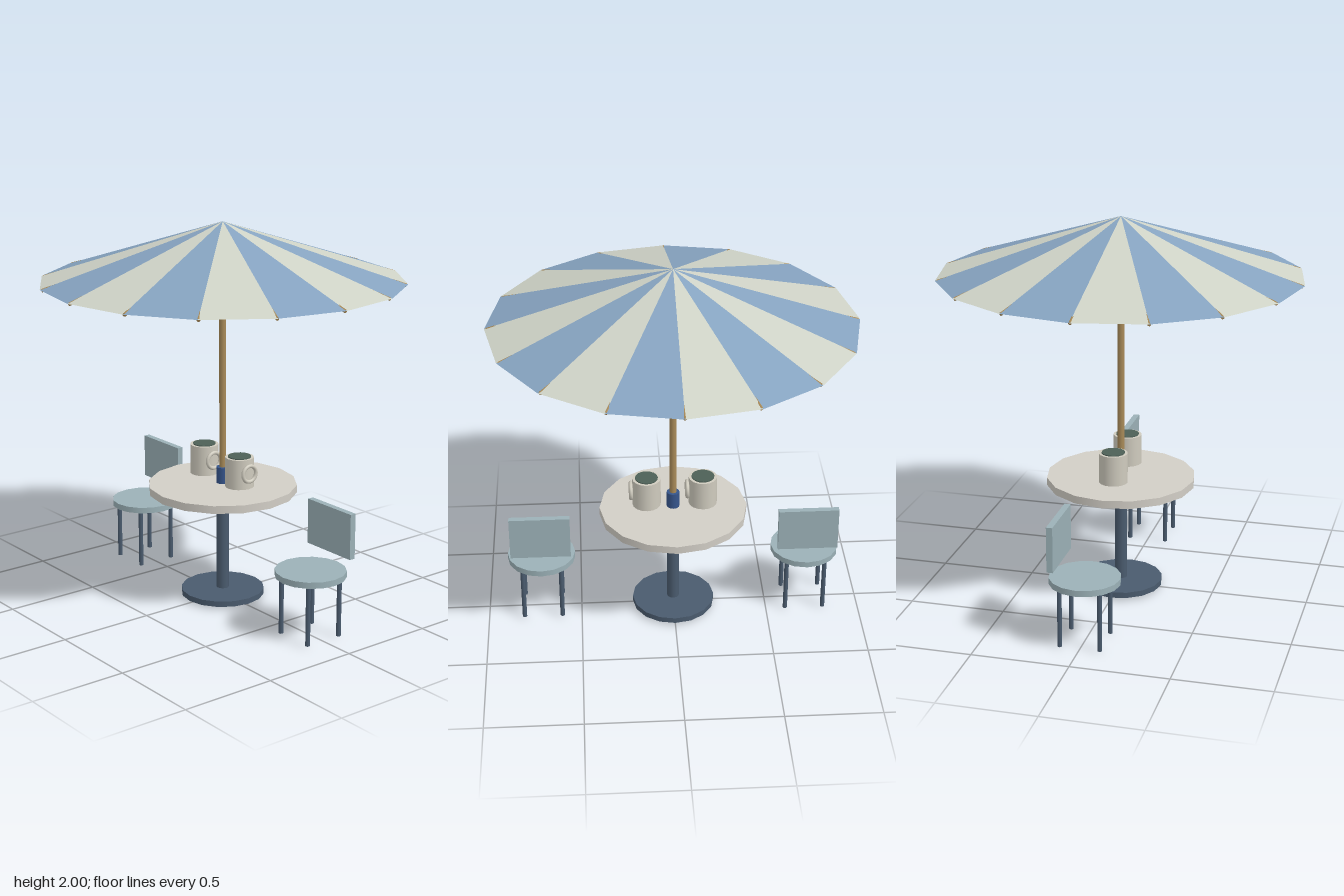
import * as THREE from 'three';

const paint = (color, extra = {}) => {
  const m = new THREE.MeshStandardMaterial({ color });
  return Object.assign(m, extra);
};

const mats = {
  blueCloth: paint(0x86a3c0, { side: THREE.DoubleSide, flatShading: true }),
  paleCloth: paint(0xced2c6, { side: THREE.DoubleSide, flatShading: true }),
  wood: paint(0xa88a58),
  metal: paint(0x4a5b6e),
  socket: paint(0x35558c),
  table: paint(0xd2cec6),
  mug: paint(0xcfcbbe),
  drink: paint(0x4d6057),
  chair: paint(0x9bb1b7),
};

function add(parent, name, geometry, material, x = 0, y = 0, z = 0) {
  const mesh = new THREE.Mesh(geometry, material);
  mesh.name = name;
  mesh.position.set(x, y, z);
  parent.add(mesh);
  return mesh;
}

// Upright cylinder between two heights
function post(parent, name, r, y0, y1, sides, material, x = 0, z = 0) {
  return add(parent, name, new THREE.CylinderGeometry(r, r, y1 - y0, sides), material, x, (y0 + y1) / 2, z);
}

// Straight round bar between two points
function bar(parent, name, a, b, r, material) {
  const mesh = add(parent, name, new THREE.CylinderGeometry(r, r, a.distanceTo(b), 6), material);
  mesh.position.copy(a).lerp(b, 0.5);
  mesh.quaternion.setFromUnitVectors(new THREE.Vector3(0, 1, 0), b.clone().sub(a).normalize());
}

const PANELS = 16, CANOPY_R = 0.935, APEX = 2, RIM = 1.7;
const polar = (i, r, y) => {
  const a = (i / PANELS) * Math.PI * 2;
  return new THREE.Vector3(Math.cos(a) * r, y, Math.sin(a) * r);
};

// Every second panel of the canopy, starting at the given one
function panels(first) {
  const points = [];
  for (let i = first; i < PANELS; i += 2) {
    points.push(new THREE.Vector3(0, APEX, 0), polar(i + 1, CANOPY_R, RIM), polar(i, CANOPY_R, RIM));
  }
  const g = new THREE.BufferGeometry().setFromPoints(points);
  g.computeVertexNormals();
  return g;
}

function umbrella() {
  const g = new THREE.Group();
  g.name = 'umbrella';
  add(g, 'bluePanels', panels(0), mats.blueCloth);
  add(g, 'palePanels', panels(1), mats.paleCloth);
  for (let i = 0; i < PANELS; i++) {
    bar(g, 'rib', polar(i, 0.01, 1.968), polar(i, 0.925, RIM - 0.004), 0.009, mats.wood);
  }
  post(g, 'pole', 0.018, 0.64, 1.97, 12, mats.wood);
  post(g, 'poleSocket', 0.034, 0.61, 0.71, 12, mats.socket);
  return g;
}

function table() {
  const g = new THREE.Group();
  g.name = 'table';
  post(g, 'tabletop', 0.39, 0.582, 0.623, 16, mats.table);
  post(g, 'column', 0.033, 0, 0.572, 12, mats.metal);
  post(g, 'base', 0.22, 0.01, 0.04, 16, mats.metal);
  return g;
}

function mug(x) {
  const g = new THREE.Group();
  g.name = 'mug';
  post(g, 'mugBody', 0.075, 0.64, 0.798, 16, mats.mug);
  post(g, 'drink', 0.06, 0.78, 0.803, 16, mats.drink);
  // Ring handle standing flat against the side
  add(g, 'handle', new THREE.TorusGeometry(0.042, 0.01, 8, 20), mats.mug, 0.083, 0.725, 0).rotation.y = Math.PI / 2;
  g.position.x = x;
  return g;
}

function chair(x) {
  const g = new THREE.Group();
  g.name = 'chair';
  post(g, 'seat', 0.18, 0.318, 0.35, 16, mats.chair);
  add(g, 'backrest', new THREE.BoxGeometry(0.317, 0.235, 0.032), mats.chair, 0, 0.537, -0.132);
  for (const lx of [-0.102, 0.102]) {
    for (const lz of [-0.102, 0.102]) post(g, 'chairLeg', 0.012, 0.003, 0.32, 8, mats.metal, lx, lz);
  }
  g.position.x = x;
  return g;
}

export function createModel() {
  const model = new THREE.Group();
  model.name = 'patioSet';
  model.add(umbrella(), table(), mug(-0.157), mug(0.14), chair(-0.707), chair(0.707));
  return model;
}
